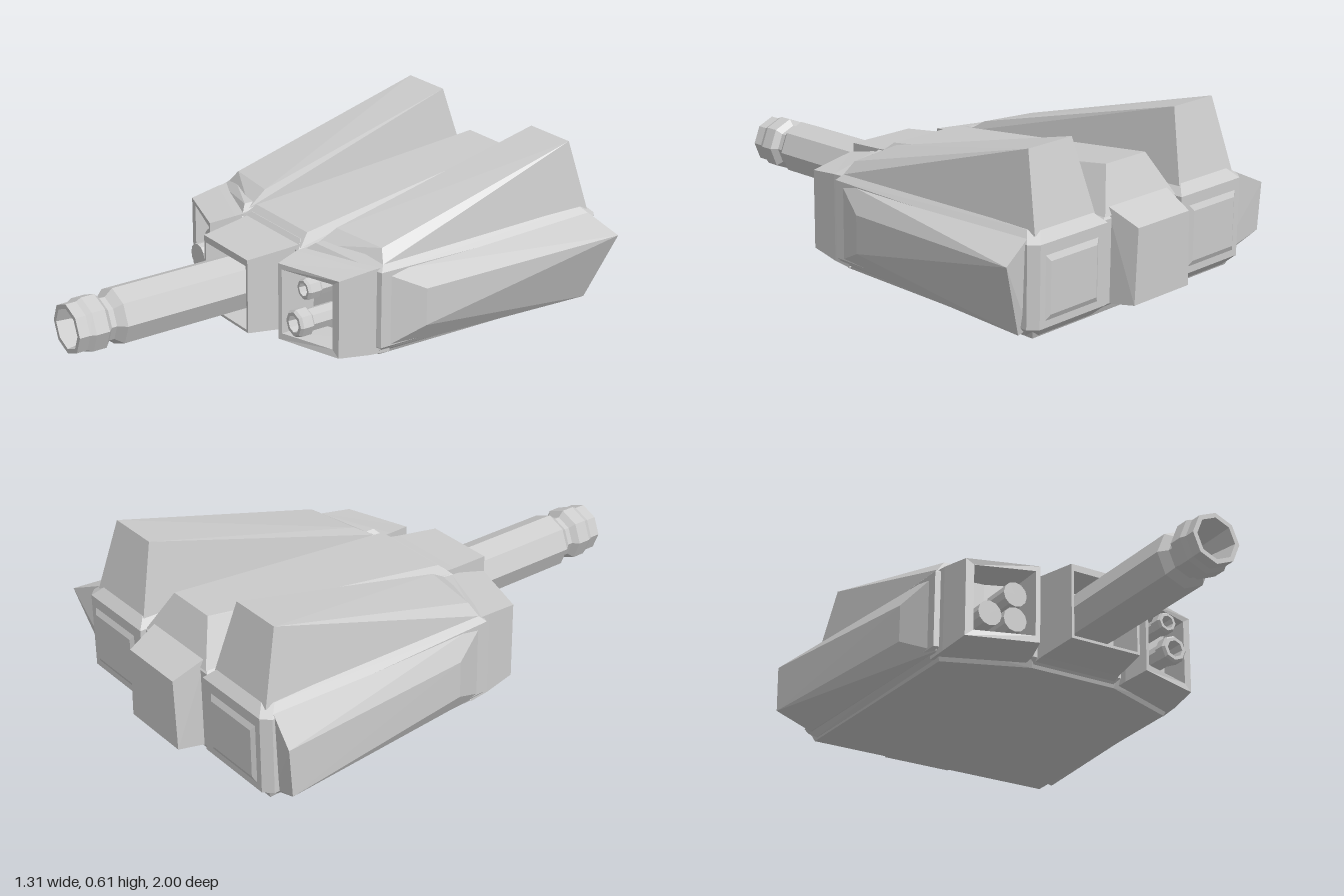
import * as THREE from 'three';
import { ConvexGeometry } from 'three/addons/geometries/ConvexGeometry.js';

const grey = new THREE.MeshStandardMaterial({ color: 0xcccccc, flatShading: true, side: THREE.DoubleSide });

export function createModel() {
  const model = new THREE.Group();

  function add(name, geometry, parent = model) {
    const mesh = new THREE.Mesh(geometry, grey);
    mesh.name = name;
    parent.add(mesh);
    return mesh;
  }

  // Faceted solid through corner points; s mirrors it across x
  const hull = (points, s = 1) =>
    new ConvexGeometry(points.map(([x, y, z]) => new THREE.Vector3(x * s, y, z)));

  // Upright block from a plan of [x, z] corners, chamfered at top and bottom
  function block(plan, y0, y1, c, s = 1) {
    const cx = plan.reduce((t, p) => t + p[0], 0) / plan.length;
    const points = [];
    for (const [x, z] of plan) {
      const ix = x - Math.sign(x - cx) * c, iz = z - Math.sign(z + 0.4) * c;
      points.push([x, y0 + c, z], [x, y1 - c, z], [ix, y0, iz], [ix, y1, iz]);
    }
    return hull(points, s);
  }

  // Skin through rectangles [x0, x1, y0, y1, z at x0, z at x1], capped at the last
  function rectLoft(loops) {
    const rings = loops.map(([x0, x1, y0, y1, z0, z1]) =>
      [[x0, y0, z0], [x1, y0, z1], [x1, y1, z1], [x0, y1, z0]]);
    const pos = [];
    const quad = (a, b, c, d) => pos.push(...a, ...b, ...c, ...a, ...c, ...d);
    for (let k = 0; k + 1 < rings.length; k++) {
      for (let i = 0; i < 4; i++) {
        const j = (i + 1) % 4;
        quad(rings[k][i], rings[k][j], rings[k + 1][j], rings[k + 1][i]);
      }
    }
    quad(...rings[rings.length - 1]);
    const g = new THREE.BufferGeometry();
    g.setAttribute('position', new THREE.Float32BufferAttribute(pos, 3));
    g.computeVertexNormals();
    return g;
  }

  // Profile of [radius, z] turned around the z axis
  function turned(profile, sides) {
    return new THREE.LatheGeometry(profile.map(([r, z]) => new THREE.Vector2(r, z)), sides)
      .rotateX(Math.PI / 2);
  }

  // Central hull and its sloping raised spine
  add('centreHull', block([[-0.185, -0.9], [0.185, -0.9], [0.185, 0.175], [-0.185, 0.175]], 0.005, 0.36, 0.03));
  const spine = [];
  for (const s of [-1, 1]) {
    spine.push([0.1 * s, 0.49, -0.83], [0.16 * s, 0.38, 0.12],
      [0.18 * s, 0.34, -0.9], [0.185 * s, 0.34, 0.165]);
  }
  add('centreSpine', hull(spine));
  add('bellyPlate', hull([-1, 1].flatMap(s => [
    [0.5 * s, 0.003, -0.88], [0.47 * s, 0.003, 0.03], [0.17 * s, 0.003, 0.15],
    [0.52 * s, 0.05, -0.9], [0.49 * s, 0.05, 0.05], [0.18 * s, 0.05, 0.17]])));

  // Rear centre block
  add('rearBlock', hull([-1, 1].flatMap(s => [
    [0.15 * s, 0.03, -0.88], [0.15 * s, 0.37, -0.88],
    [0.14 * s, 0.05, -1], [0.13 * s, 0.315, -1], [0.135 * s, 0.345, -0.93]])));

  for (const s of [-1, 1]) {
    const side = new THREE.Group();
    side.name = s > 0 ? 'leftPod' : 'rightPod';
    model.add(side);

    // Side hull and tall sloping fin
    add('sideHull', block([[0.19, -0.92], [0.51, -0.92], [0.54, -0.89], [0.505, 0.05], [0.19, 0.165]],
      0.01, 0.365, 0.035, s), side);
    add('fin', hull([
      [0.26, 0.615, -0.82], [0.465, 0.615, -0.82], [0.225, 0.4, 0.04], [0.45, 0.395, 0.01],
      [0.215, 0.35, -0.89], [0.505, 0.35, -0.89], [0.21, 0.35, 0.12], [0.485, 0.35, 0.03]], s), side);

    // Flared flank armour: pointed on one side, blunt on the other
    const tail = s > 0
      ? [[0.655, 0.29, -0.91], [0.545, 0.02, -0.86]]
      : [[0.655, 0.28, -0.91], [0.655, 0.1, -0.9], [0.53, 0.03, -0.86]];
    add('flankArmour', hull([
      [0.49, 0.03, 0.05], [0.49, 0.33, 0.05], [0.5, 0.03, -0.86], [0.5, 0.355, -0.87],
      [0.555, 0.11, -0.11], [0.555, 0.25, -0.11], ...tail], s), side);

    // Raised rear panel
    add('rearPanel', hull([
      [0.22, 0.05, -0.91], [0.5, 0.05, -0.91], [0.5, 0.31, -0.91], [0.22, 0.31, -0.91],
      [0.25, 0.09, -0.93], [0.47, 0.09, -0.93], [0.47, 0.27, -0.93], [0.25, 0.27, -0.93]], s), side);

    // Recessed launcher housing with a raked mouth
    const rect = (a, b, y0, y1, za, zb) => s > 0 ? [a, b, y0, y1, za, zb] : [-b, -a, y0, y1, zb, za];
    add('launcherHousing', rectLoft([
      rect(0.19, 0.49, 0.015, 0.345, 0.1, 0.0),
      rect(0.195, 0.485, 0.02, 0.34, 0.19, 0.08),
      rect(0.22, 0.47, 0.035, 0.325, 0.285, 0.205),
      rect(0.235, 0.44, 0.06, 0.305, 0.28, 0.21),
      rect(0.24, 0.43, 0.07, 0.295, 0.12, 0.1)]), side);
  }

  // Three capped tubes in the right launcher
  for (const [x, y] of [[-0.29, 0.22], [-0.39, 0.125], [-0.29, 0.125]]) {
    const tube = add('launchTube', new THREE.CylinderGeometry(0.046, 0.046, 0.15, 12).rotateX(Math.PI / 2));
    tube.position.set(x, y, 0.16);
  }

  // Two hollow barrels in the left launcher
  for (const [y, r, tip] of [[0.14, 0.052, 0.3], [0.26, 0.04, 0.26]]) {
    const barrel = add('smallBarrel', turned([
      [r * 0.8, 0.08], [r * 0.8, tip - 0.06], [r, tip - 0.05], [r, tip - 0.01],
      [r * 0.85, tip], [r * 0.6, tip], [r * 0.5, tip - 0.08], [0, tip - 0.08]], 8));
    barrel.position.set(0.335, y, 0);
  }

  // Main gun mount with a funnel recess
  add('gunMount', rectLoft([
    [-0.17, 0.17, 0.015, 0.35, 0.12, 0.12],
    [-0.16, 0.16, 0.03, 0.34, 0.2, 0.2],
    [-0.14, 0.14, 0.045, 0.325, 0.36, 0.36],
    [-0.13, 0.13, 0.055, 0.3, 0.36, 0.36],
    [-0.105, 0.105, 0.075, 0.275, 0.25, 0.25]]));

  // Main barrel with neck, flared muzzle and bore
  const gun = add('mainBarrel', turned([
    [0.1, 0.2], [0.105, 0.3], [0.105, 0.82], [0.08, 0.85], [0.08, 0.87], [0.102, 0.89],
    [0.102, 0.94], [0.092, 0.96], [0.092, 1.0], [0.075, 1.0], [0.05, 0.85], [0, 0.85]], 8));
  gun.position.y = 0.183;

  return model;
}
